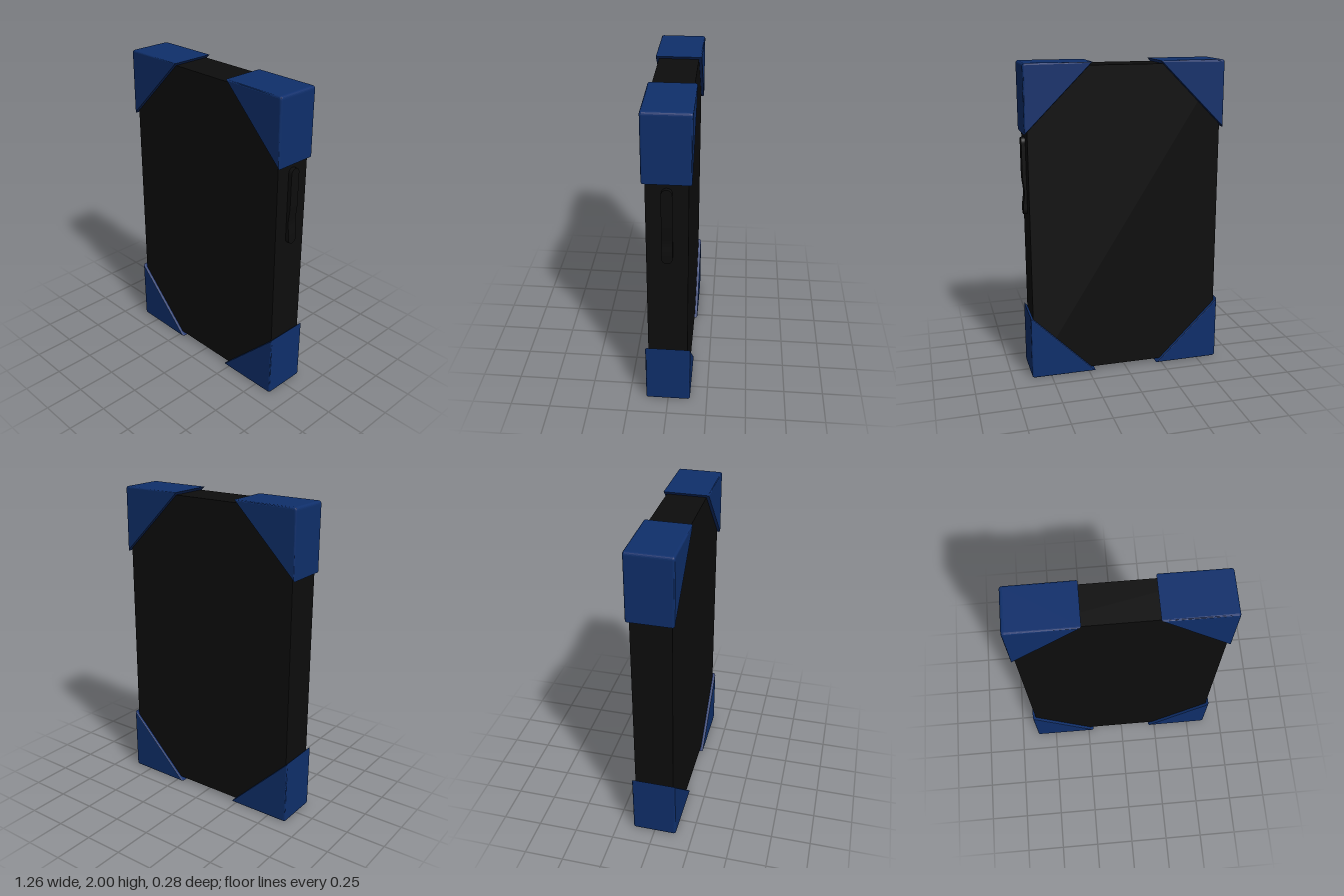
import * as THREE from 'three';

const CX = -0.004;           // centre of the slab, the button makes up the rest
const HALF_W = 0.63, LEG = 0.42, ROUND = 0.02, BEVEL = 0.012;

// Triangular corner guard with its right angle at the origin, legs along +x and +y
function guardGeometry(depth) {
  const s = new THREE.Shape();
  s.moveTo(ROUND, 0);
  s.lineTo(LEG, 0);
  s.lineTo(0, LEG);
  s.lineTo(0, ROUND);
  s.quadraticCurveTo(0, 0, ROUND, 0);
  const g = new THREE.ExtrudeGeometry(s, {
    depth: depth - 2 * BEVEL, curveSegments: 5,
    bevelEnabled: true, bevelSize: BEVEL, bevelThickness: BEVEL, bevelOffset: -BEVEL, bevelSegments: 3,
  });
  return g.translate(0, 0, -depth / 2 + BEVEL);
}

// Long rounded button whose outer face dips below the middle
function buttonGeometry(length, halfWidth) {
  const g = new THREE.BoxGeometry(1, length, 1, 1, 48, 1);
  const p = g.attributes.position;
  for (let i = 0; i < p.count; i++) {
    // closer spacing of the rings towards the ends
    const y = Math.sin((p.getY(i) / length) * Math.PI) * length / 2;
    const over = Math.max(0, Math.abs(y) - (length / 2 - halfWidth));
    const w = Math.sqrt(Math.max(0, halfWidth ** 2 - over ** 2));
    const dip = 0.01 * Math.exp(-(((y + 0.1) / 0.06) ** 2));
    p.setXYZ(i, p.getX(i) > 0 ? 0.024 - dip : -0.01, y, Math.sign(p.getZ(i)) * w);
  }
  g.computeVertexNormals();
  return g;
}

export function createModel() {
  const model = new THREE.Group();
  const black = new THREE.MeshStandardMaterial({ color: 0x0d0d0d });
  const blue = new THREE.MeshStandardMaterial({ color: 0x0f2f6b });
  const add = (name, geometry, material, x, y, z) => {
    const mesh = new THREE.Mesh(geometry, material);
    mesh.name = name;
    mesh.position.set(x, y, z);
    model.add(mesh);
    return mesh;
  };

  // Flat slab body
  add('body', new THREE.BoxGeometry(1.222, 1.956, 0.244), black, CX, 1.002, 0);

  // Four corner guards, each a quarter turn from the last
  const guard = guardGeometry(0.282);
  const names = ['lowerRightGuard', 'lowerLeftGuard', 'upperLeftGuard', 'upperRightGuard'];
  names.forEach((name, i) => {
    const sx = i === 1 || i === 2 ? 1 : -1;
    const mesh = add(name, guard, blue, CX + sx * HALF_W, i < 2 ? 0 : 2, 0);
    mesh.rotation.z = i * Math.PI / 2;
  });

  // Side button
  add('sideButton', buttonGeometry(0.485, 0.032), black, 0.607, 1.308, 0);

  return model;
}
